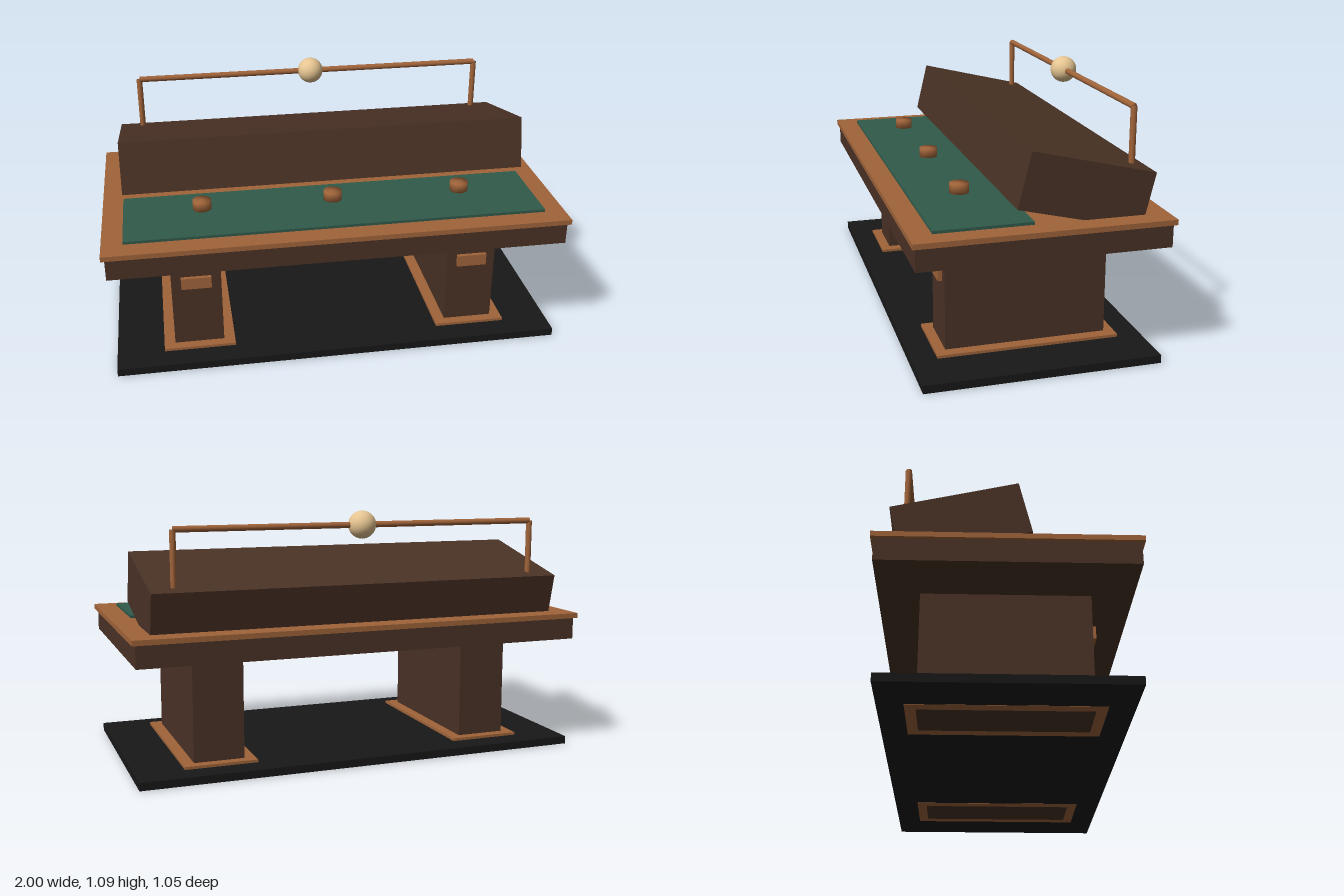
import * as THREE from 'three';
import { mergeVertices } from 'three/addons/utils/BufferGeometryUtils.js';

const mat = (color) => new THREE.MeshStandardMaterial({ color });

export function createModel() {
  const model = new THREE.Group();
  model.name = 'consoleTable';
  const wood = mat(0x4a3225), copper = mat(0xa0643a), felt = mat(0x315a4b);
  const black = mat(0x181818), ivory = mat(0xe6c592);

  const add = (name, geometry, material, x, y, z) => {
    const mesh = new THREE.Mesh(geometry, material);
    mesh.name = name;
    mesh.position.set(x, y, z);
    model.add(mesh);
    return mesh;
  };
  // Box centred on x and z, spanning y0 to y1
  const slab = (name, w, d, y0, y1, material, x = 0, z = 0) =>
    add(name, new THREE.BoxGeometry(w, y1 - y0, d), material, x, (y0 + y1) / 2, z);
  // Cylinder with normals blended over its rims
  const softCylinder = (r, h, sides) => {
    const g = new THREE.CylinderGeometry(r, r, h, sides);
    g.deleteAttribute('normal');
    g.deleteAttribute('uv');
    const merged = mergeVertices(g);
    merged.computeVertexNormals();
    return merged;
  };

  // Floor plinth
  slab('plinth', 1.964, 0.98, 0.002, 0.036, black);

  // Pedestals with foot plates and front badges
  for (const s of [-1, 1]) {
    const x = s * 0.618;
    slab('pedestal', 0.218, 0.684, 0, 0.5, wood, x);
    slab('footPlate', 0.315, 0.77, 0.001, 0.048, copper, x);
    slab('badge', 0.132, 0.04, 0.33, 0.383, copper, x, 0.34);
  }

  // Table body, rim and felt
  slab('apron', 1.97, 1.022, 0.498, 0.594, wood);
  slab('tableRim', 2, 1.046, 0.593, 0.615, copper);
  slab('feltPad', 1.82, 0.4, 0.61, 0.627, felt, 0, 0.23);

  // Tilted cabinet
  const cabinet = add('cabinet', new THREE.BoxGeometry(1.82, 0.232, 0.524), wood, 0, 0.7315, -0.1825);
  cabinet.rotation.x = -0.235;

  // Knobs over the felt
  for (const x of [-0.57, 0, 0.57]) add('knob', softCylinder(0.04, 0.041, 24), copper, x, 0.68, 0.241);

  // Rail, posts and ball
  const railZ = -0.402;
  for (const s of [-1, 1]) add('railPost', softCylinder(0.013, 0.277, 16), copper, s * 0.807, 0.8885, railZ);
  const rail = add('rail', softCylinder(0.013, 1.61, 16), copper, 0, 1.028, railZ);
  rail.rotation.z = Math.PI / 2;
  add('ball', new THREE.SphereGeometry(0.059, 32, 20), ivory, 0, 1.028, railZ);

  return model;
}
